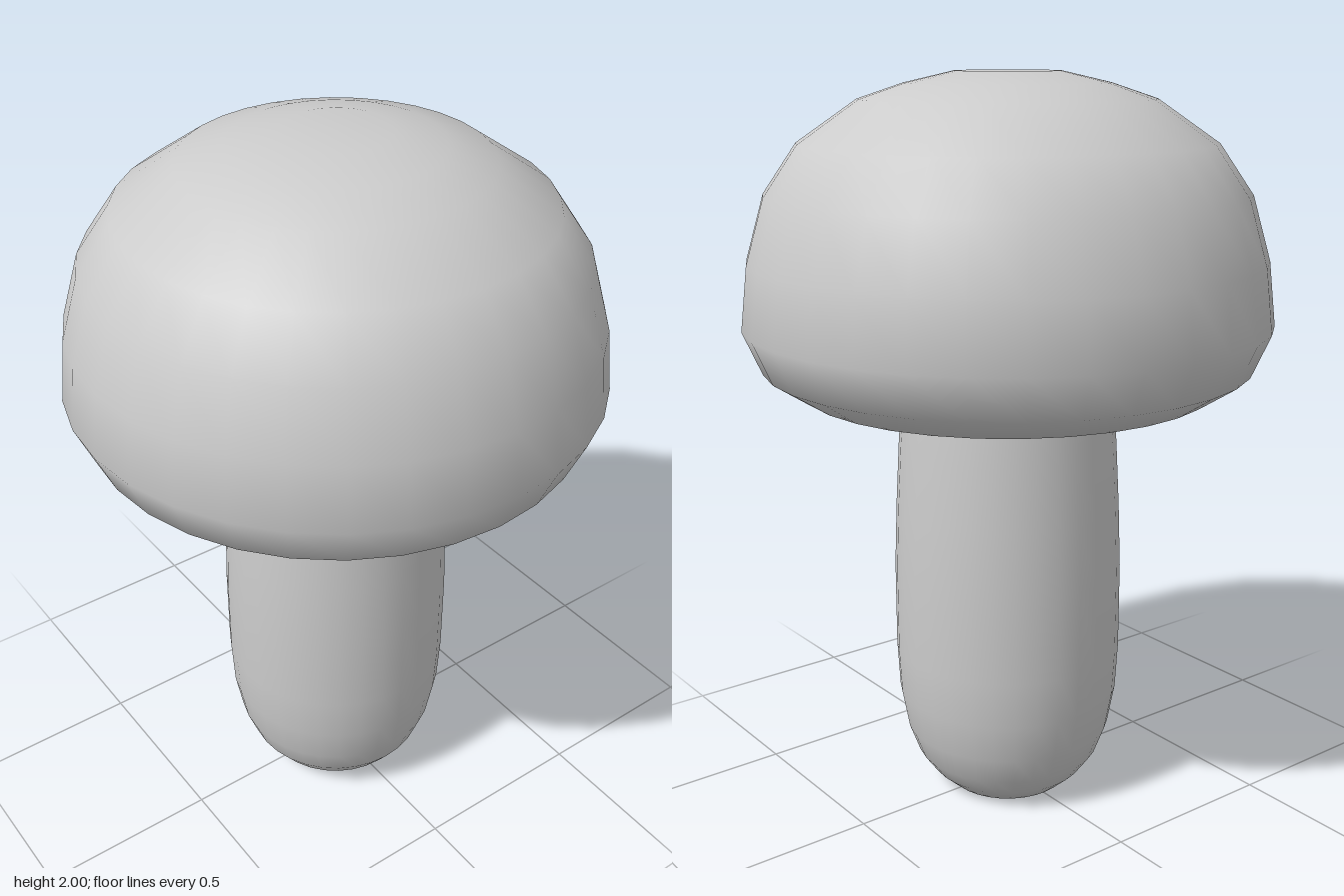
import * as THREE from 'three';

const SEGMENTS = 32;

// Turns a [radius, height] profile, listed from the underside to the top, into a smooth solid
function turned(name, profile) {
  const points = profile.map(([r, y]) => new THREE.Vector2(r, y));
  const material = new THREE.MeshStandardMaterial({ color: 0xcccccc });
  const mesh = new THREE.Mesh(new THREE.LatheGeometry(points, SEGMENTS), material);
  mesh.name = name;
  return mesh;
}

export function createModel() {
  const mushroom = new THREE.Group();
  mushroom.name = 'mushroom';

  // Stem: rounded foot, slight belly, narrowing up into the cap
  mushroom.add(turned('stem', [
    [0, 0], [0.17, 0], [0.22, 0.045], [0.26, 0.1], [0.29, 0.18], [0.31, 0.29],
    [0.317, 0.42], [0.317, 0.66], [0.31, 0.84], [0.3, 1.02], [0.288, 1.17], [0.27, 1.36],
  ]));

  // Cap: hollow underside, rolled rim and domed top
  mushroom.add(turned('cap', [
    [0, 1.35], [0.25, 1.34], [0.38, 1.31], [0.46, 1.25], [0.5, 1.19], [0.56, 1.17],
    [0.66, 1.235], [0.71, 1.35], [0.69, 1.52], [0.64, 1.69], [0.55, 1.82],
    [0.39, 1.93], [0.27, 1.97], [0.14, 2], [0, 2],
  ]));

  return mushroom;
}
